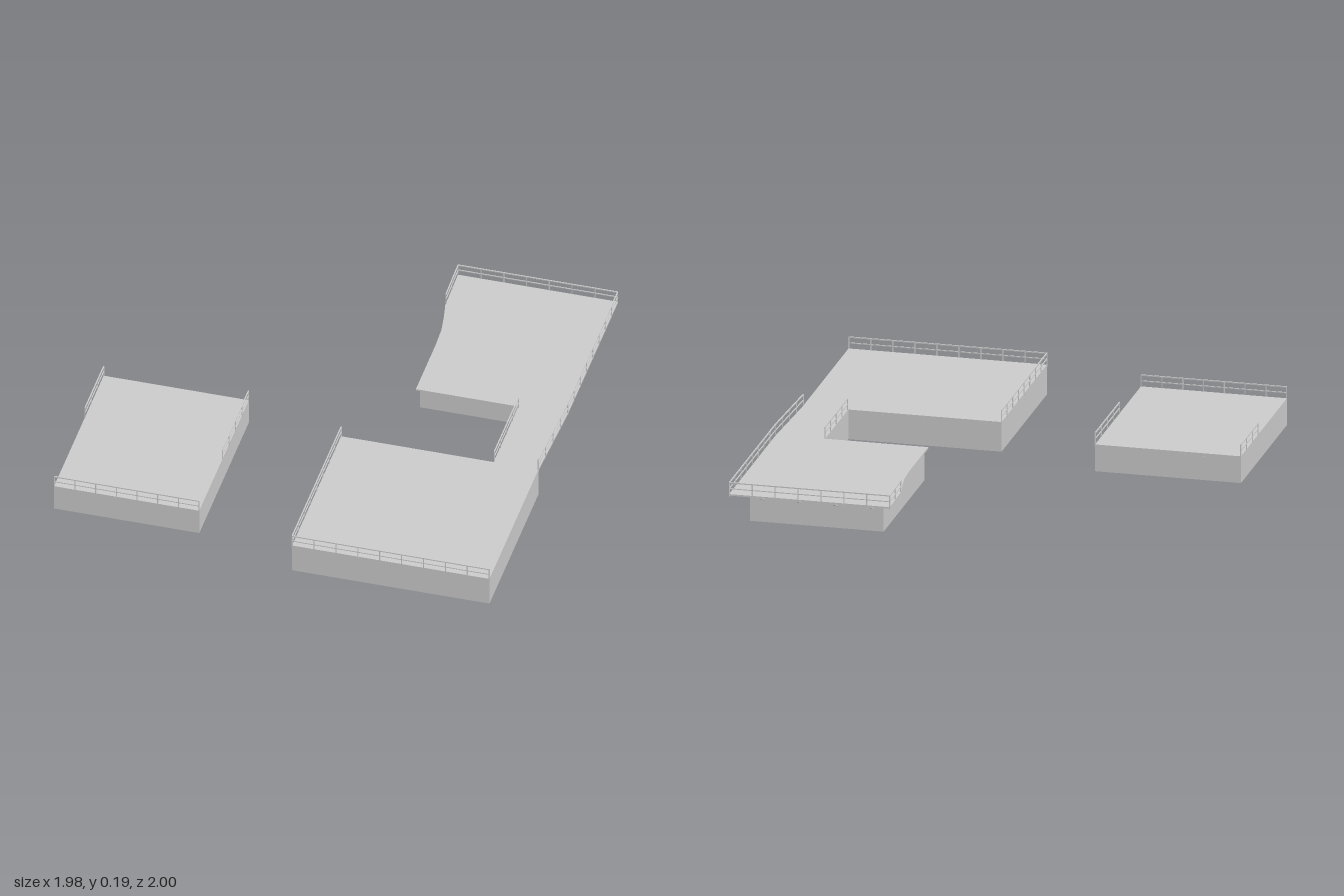
import * as THREE from 'three';

const concrete = new THREE.MeshStandardMaterial({ color: 0xcccccc });
concrete.name = 'lightGrey';

const EDGE = 0.133; // top of the main decks
const LOW = 0.12; // top of the small platform

// Flat slab from an outline of [x, z] points
function slab(name, outline, y0, y1) {
  const shape = new THREE.Shape(outline.map(([x, z]) => new THREE.Vector2(x, -z)));
  const geo = new THREE.ExtrudeGeometry(shape, { depth: y1 - y0, bevelEnabled: false });
  geo.rotateX(-Math.PI / 2).translate(0, y0, 0);
  const mesh = new THREE.Mesh(geo, concrete);
  mesh.name = name;
  return mesh;
}

function rect(x0, x1, z0, z1) {
  return [[x0, z0], [x1, z0], [x1, z1], [x0, z1]];
}

function box(parent, name, w, h, d, x, y, z, angle = 0) {
  const mesh = new THREE.Mesh(new THREE.BoxGeometry(w, h, d), concrete);
  mesh.name = name;
  mesh.position.set(x, y, z);
  mesh.rotation.y = angle;
  parent.add(mesh);
}

// Railing along a path of [x, z] points: posts, hand rail and middle rail
function railing(name, path, top) {
  const group = new THREE.Group();
  group.name = name;
  for (let i = 0; i < path.length - 1; i++) {
    const [x0, z0] = path[i], [x1, z1] = path[i + 1];
    const length = Math.hypot(x1 - x0, z1 - z0);
    const angle = -Math.atan2(z1 - z0, x1 - x0);
    const mx = (x0 + x1) / 2, mz = (z0 + z1) / 2;
    box(group, 'handRail', length, 0.005, 0.005, mx, top + 0.051, mz, angle);
    box(group, 'middleRail', length, 0.004, 0.004, mx, top + 0.025, mz, angle);
    const count = Math.max(1, Math.round(length / 0.094));
    for (let k = i ? 1 : 0; k <= count; k++) {
      const t = k / count;
      box(group, 'post', 0.004, 0.061, 0.004,
        x0 + (x1 - x0) * t, top + 0.021, z0 + (z1 - z0) * t, angle);
    }
  }
  return group;
}

// Slanted strut under the overhang, reaching out along +x before turning
function bracket(x, z, angle, reach) {
  const shape = new THREE.Shape([
    new THREE.Vector2(0, -0.03), new THREE.Vector2(reach, -0.006),
    new THREE.Vector2(reach, 0), new THREE.Vector2(0, -0.022),
  ]);
  const geo = new THREE.ExtrudeGeometry(shape, { depth: 0.006, bevelEnabled: false });
  geo.translate(0, 0, -0.003);
  const mesh = new THREE.Mesh(geo, concrete);
  mesh.name = 'bracket';
  mesh.position.set(x, 0.127, z);
  mesh.rotation.y = angle;
  return mesh;
}

export function createModel() {
  const model = new THREE.Group();
  model.name = 'quayPlatforms';

  // Solid platforms
  model.add(slab('smallPlatform', rect(-0.988, -0.348, 0.06, 0.853), 0, LOW));
  model.add(slab('largePlatform', rect(0.1, 0.97, 0.212, 0.996), 0, EDGE));

  // Rear base with its narrow link to the large platform
  model.add(slab('rearBase', [
    [0.325, -0.937], [0.91, -0.937], [0.91, 0.212], [0.772, 0.212], [0.772, -0.235],
    [0.325, -0.235],
  ], 0, 0.127));

  // Thin overhanging rear deck
  model.add(slab('rearDeck', [
    [0.282, -0.997], [0.987, -0.997], [0.987, -0.2], [0.97, 0.212], [0.772, 0.212],
    [0.772, -0.186], [0.32, -0.186], [0.32, -0.5], [0.316, -0.61], [0.302, -0.7], [0.286, -0.78],
  ], 0.126, EDGE));

  // Brackets along the side and the back
  for (const z of [-0.34, -0.515, -0.69, -0.865]) model.add(bracket(0.91, z, 0, 0.07));
  for (const x of [0.37, 0.53, 0.69, 0.85]) model.add(bracket(x, -0.937, Math.PI / 2, 0.056));

  // Railings
  model.add(railing('smallFrontRailing', [[-0.987, 0.852], [-0.349, 0.852]], LOW));
  model.add(railing('smallRightRailing', [[-0.987, 0.061], [-0.987, 0.36]], LOW));
  model.add(railing('smallLeftRailing', [[-0.349, 0.061], [-0.349, 0.48]], LOW));
  model.add(railing('largeRailing', [[0.101, 0.213], [0.101, 0.996], [0.969, 0.996]], EDGE));
  model.add(railing('notchRailing', [[0.774, -0.18], [0.774, 0.205]], EDGE));
  model.add(railing('rearRailing',
    [[0.969, 0.212], [0.986, -0.2], [0.986, -0.997], [0.283, -0.997], [0.287, -0.79]], EDGE));

  // Small studs along the inner faces
  for (let i = 0; i < 7; i++) {
    box(model, 'stud', 0.004, 0.004, 0.003, -0.9 + i * 0.077, LOW - 0.015, 0.06);
    box(model, 'stud', 0.004, 0.004, 0.003, 0.17 + i * 0.09, EDGE - 0.015, 0.212);
  }
  return model;
}
